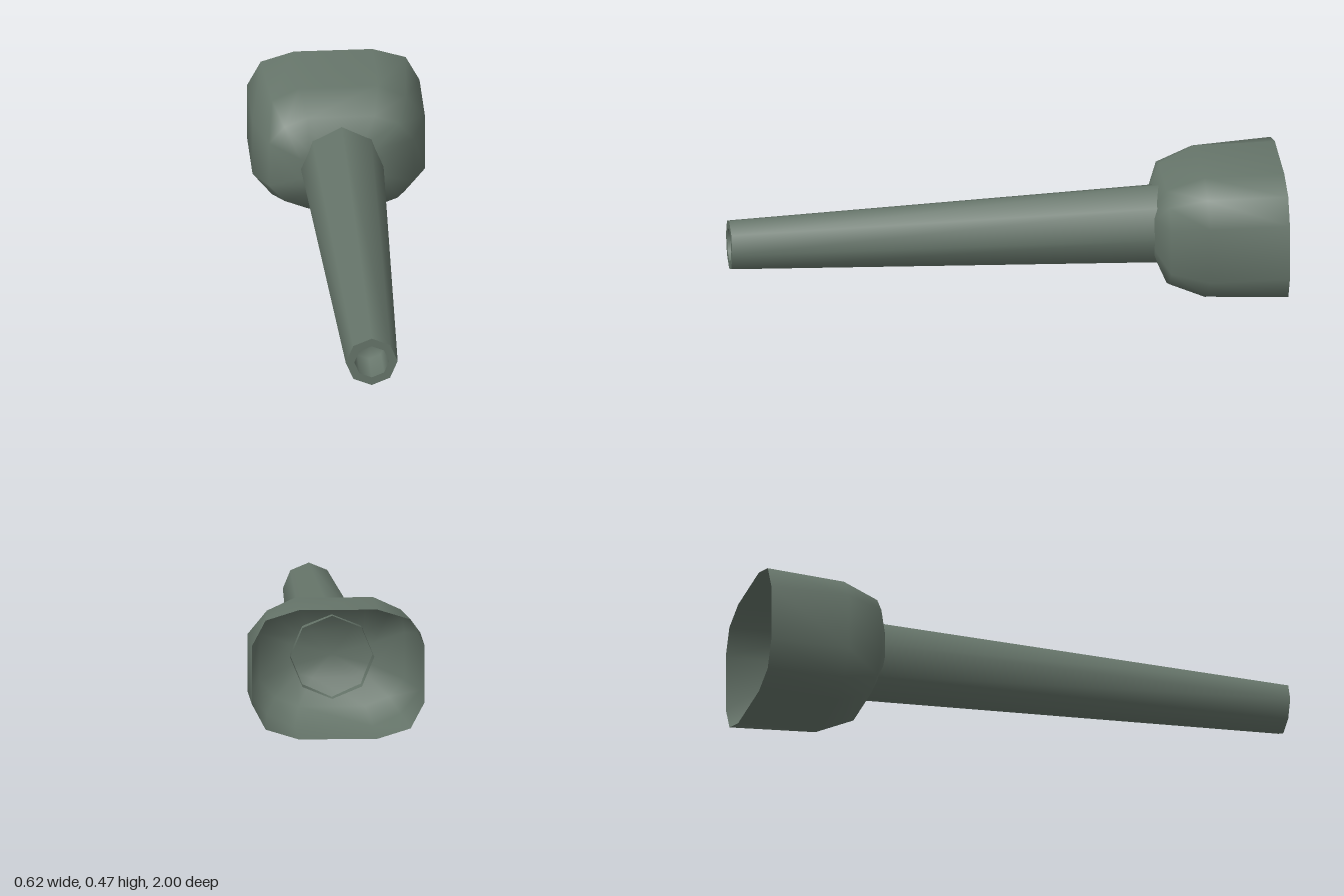
import * as THREE from 'three';

const AXIS_Y = 0.236;

// Twelve-sided outline from three points of one quarter, counter-clockwise
function outline(quarter) {
  const half = [...quarter, ...quarter.slice().reverse().map(([x, y]) => [-x, y])];
  return [...half, ...half.map(([x, y]) => [-x, -y])];
}

// Skin a list of rings (back to front) and close the front with a centre point
function loft(rings, tipZ) {
  const pos = [], idx = [];
  let n = 0;
  for (const { z, quarter } of rings) {
    const pts = outline(quarter);
    n = pts.length;
    for (const [x, y] of pts) pos.push(x, y, z);
  }
  pos.push(0, 0, tipZ);
  const last = (rings.length - 1) * n;
  for (let i = 0; i < n; i++) {
    const j = (i + 1) % n;
    for (let r = 0; r < last; r += n) {
      idx.push(r + i, r + j, r + n + j, r + i, r + n + j, r + n + i);
    }
    idx.push(last + i, last + j, last + n);
  }
  const geo = new THREE.BufferGeometry();
  geo.setAttribute('position', new THREE.Float32BufferAttribute(pos, 3));
  geo.setIndex(idx);
  geo.computeVertexNormals();
  return geo;
}

// Eight-sided surface of revolution along z; each profile point is [radius, z]
function turned(profile) {
  const geo = new THREE.LatheGeometry(profile.map(([r, z]) => new THREE.Vector2(r, z)), 8);
  return geo.rotateX(Math.PI / 2);
}

export function createModel() {
  const model = new THREE.Group();
  const green = new THREE.MeshStandardMaterial({ color: 0x66756a, side: THREE.DoubleSide });
  green.name = 'grey green';

  const add = (name, geo) => {
    const mesh = new THREE.Mesh(geo, green);
    mesh.name = name;
    mesh.position.y = AXIS_Y;
    model.add(mesh);
  };

  // Rounded housing, open at the back
  add('housing', loft([
    { z: -1, quarter: [[0.312, 0.105], [0.262, 0.199], [0.142, 0.236]] },
    { z: -0.71, quarter: [[0.312, 0.105], [0.242, 0.19], [0.142, 0.236]] },
    { z: -0.575, quarter: [[0.262, 0.085], [0.205, 0.15], [0.12, 0.183]] },
    { z: -0.53, quarter: [[0.15, 0.04], [0.12, 0.07], [0.07, 0.085]] },
  ], -0.525));

  // Tapered barrel, flat muzzle ring and blind bore
  add('barrel', turned([[0.152, -0.6], [0.094, 1]]));
  add('muzzleRing', turned([[0.094, 1], [0.063, 1]]));
  add('bore', turned([[0.063, 1], [0.06, 0.86], [0, 0.86]]));

  return model;
}
